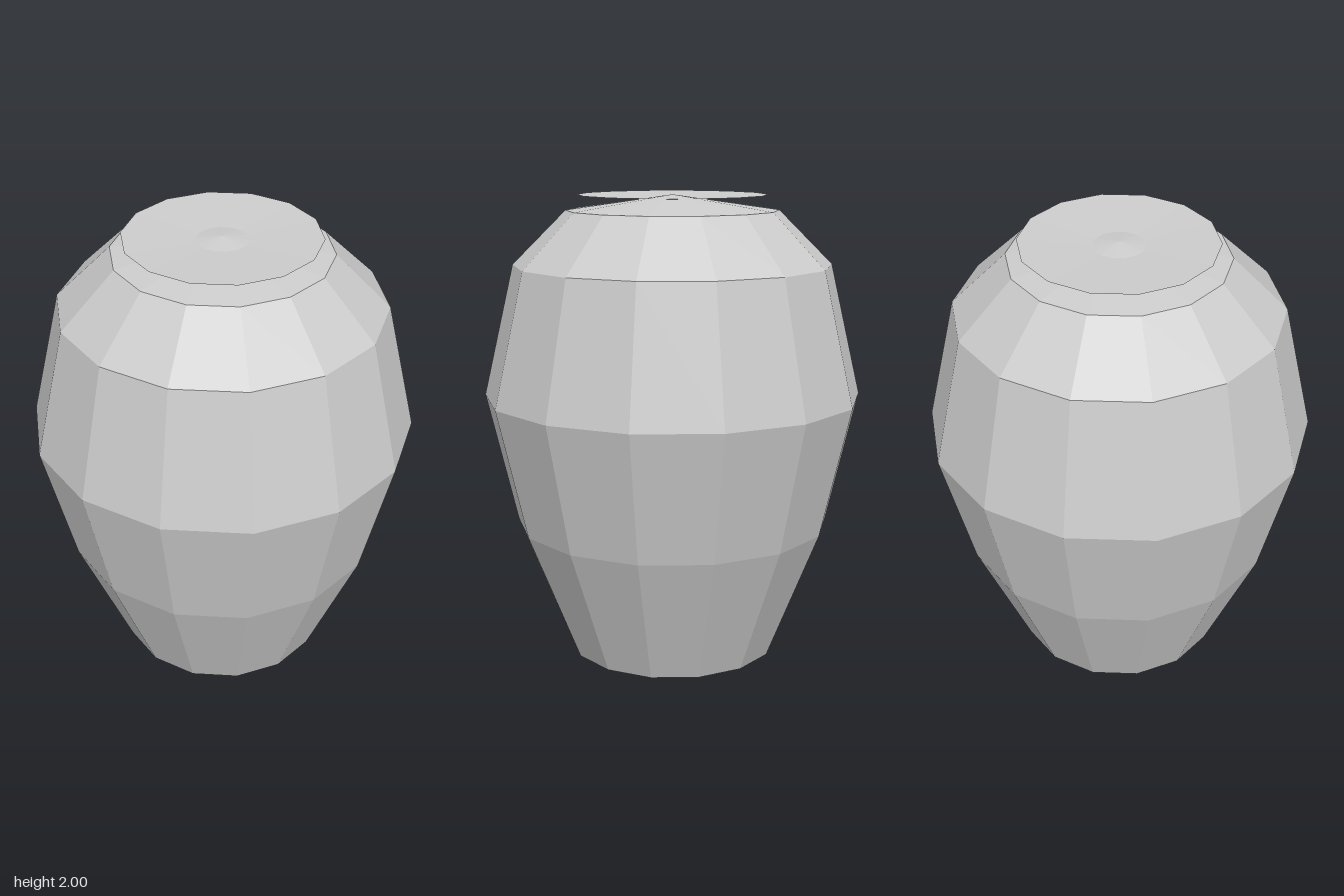
import * as THREE from 'three';

const SIDES = 14;

// Revolve [radius, height] pairs with a corner pointing along x
function turned(name, profile, material) {
  const points = profile.map(([r, y]) => new THREE.Vector2(r, y));
  const geometry = new THREE.LatheGeometry(points, SIDES, Math.PI / 2).toNonIndexed();
  geometry.computeVertexNormals();
  const mesh = new THREE.Mesh(geometry, material);
  mesh.name = name;
  return mesh;
}

export function createModel() {
  const group = new THREE.Group();
  group.name = 'jar';

  const clay = new THREE.MeshStandardMaterial({ color: 0xcccccc, side: THREE.DoubleSide, flatShading: true });
  clay.name = 'pale grey clay';

  // Closed faceted body with a shallow conical shoulder
  group.add(turned('body', [
    [0, 0], [0.455, 0], [0.685, 0.575], [0.817, 1.14],
    [0.685, 1.705], [0.455, 1.935], [0, 2],
  ], clay));

  // Thin flared rim, a shallow funnel that the shoulder's tip pokes through
  group.add(turned('rim', [[0, 1.979], [0.408, 2]], clay));

  return group;
}
